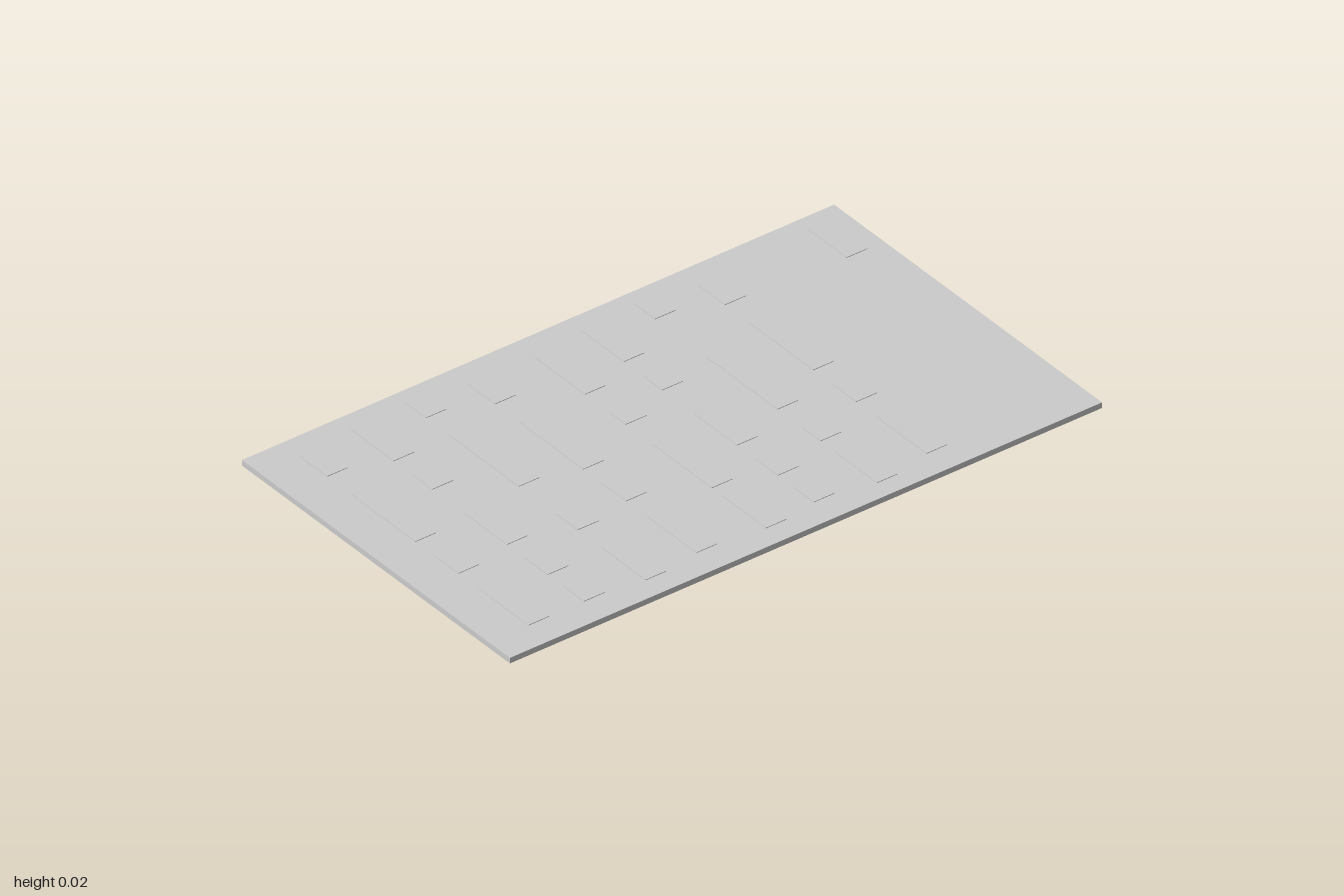
import * as THREE from 'three';

export function createModel() {
  const group = new THREE.Group();
  const material = new THREE.MeshStandardMaterial({ color: 0xcccccc, flatShading: true });
  const slabHeight = 0.018;
  const ridgeHeight = 0.002;
  const ridgeWidth = 0.07;

  // Box standing on the given height
  function addBox(name, w, h, d, x, y, z) {
    const mesh = new THREE.Mesh(new THREE.BoxGeometry(w, h, d), material);
    mesh.position.set(x, y + h / 2, z);
    mesh.name = name;
    group.add(mesh);
  }

  // Flat base slab
  addBox('slab', 2, slabHeight, 1.184, 0, 0, 0);

  // Rows of low raised ridges: [front z, back z] spans for each column
  const longShort = [[0.5, 0.28], [0.19, 0.08], [0, -0.28], [-0.39, -0.51]];
  const manyShort = [[0.5, 0.41], [0.34, 0.24], [0.16, -0.03], [-0.17, -0.25], [-0.34, -0.53]];
  const longMiddle = [[0.53, 0.35], [0.28, 0.2], [0.09, -0.22], [-0.45, -0.54]];
  const columns = [
    [-0.832, longShort],
    [-0.645, manyShort],
    [-0.452, [[0.52, 0.33], [0.22, 0.12], [-0.04, -0.35], [-0.45, -0.54]]],
    [-0.265, longShort],
    [-0.045, [[0.52, 0.33], [0.28, 0.02], [-0.1, -0.18], [-0.28, -0.5]]],
    [0.132, manyShort],
    [0.322, longMiddle],
    [0.512, longShort],
    [0.908, [[-0.37, -0.54]]],
  ];
  for (const [x, spans] of columns) {
    for (const [front, back] of spans) {
      addBox('ridge', ridgeWidth, ridgeHeight, front - back, x, slabHeight, (front + back) / 2);
    }
  }
  return group;
}
